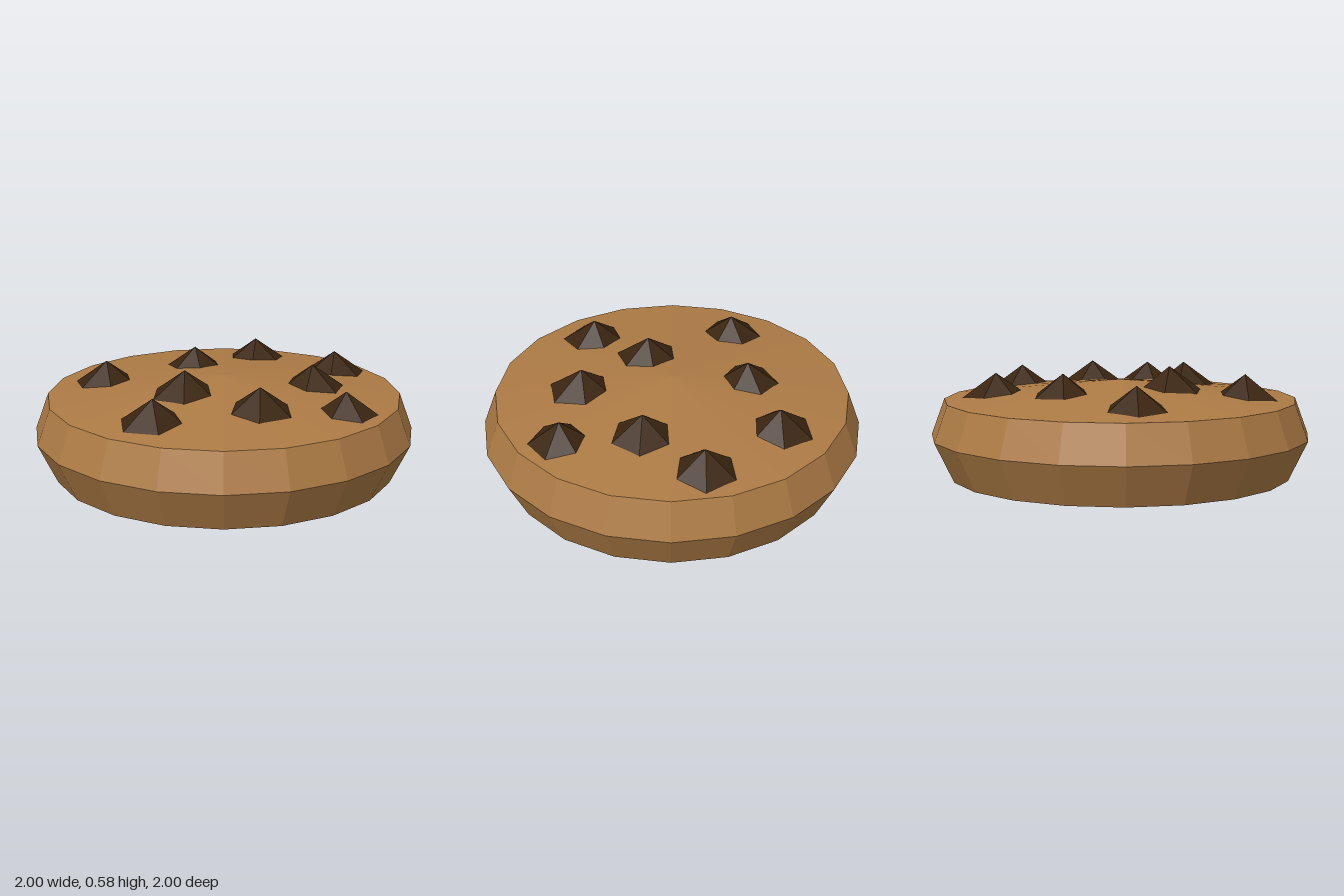
import * as THREE from 'three';

const RIM = 0.93, RIM_Y = 0.4, PEAK_Y = 0.5;

// Height of the gently domed top at a distance r from the centre
const topHeight = (r) => PEAK_Y - (PEAK_Y - RIM_Y) * (r / RIM);

// Chips: x, z, visible radius, turn in degrees
const CHIPS = [
  [0.18, -0.63, 0.150, 52],
  [0.61, -0.37, 0.150, 49],
  [-0.16, -0.365, 0.140, 14],
  [-0.63, -0.14, 0.150, 13],
  [0.465, 0.0, 0.148, 44],
  [-0.2, 0.2, 0.155, 0],
  [0.18, 0.435, 0.155, -2],
  [0.61, 0.385, 0.140, 26],
  [-0.345, 0.565, 0.155, 12],
];

export function createModel() {
  const group = new THREE.Group();
  const dough = new THREE.MeshStandardMaterial({ color: 0xad7b45, flatShading: true });
  dough.name = 'baked dough';
  const chocolate = new THREE.MeshStandardMaterial({ color: 0x3b2511, flatShading: true });
  chocolate.name = 'dark chocolate';

  // Biscuit: faceted disc with a bulging rim and a shallow domed top
  const profile = [[0, 0], [0.9, 0], [1, 0.21], [RIM, RIM_Y], [0, PEAK_Y]]
    .map(([r, y]) => new THREE.Vector2(r, y));
  const biscuit = new THREE.Mesh(new THREE.LatheGeometry(profile, 20), dough);
  biscuit.name = 'biscuit';
  group.add(biscuit);

  // Chocolate chips: six-sided cones sunk into the top
  const SLOPE = 0.72, SINK = 0.05;
  CHIPS.forEach(([x, z, radius, turn], i) => {
    const height = radius * SLOPE + SINK;
    const chip = new THREE.Mesh(new THREE.ConeGeometry(height / SLOPE, height, 6), chocolate);
    chip.name = `chocolateChip${i + 1}`;
    chip.position.set(x, topHeight(Math.hypot(x, z)) - SINK + height / 2, z);
    chip.rotation.y = THREE.MathUtils.degToRad(turn);
    group.add(chip);
  });

  return group;
}
